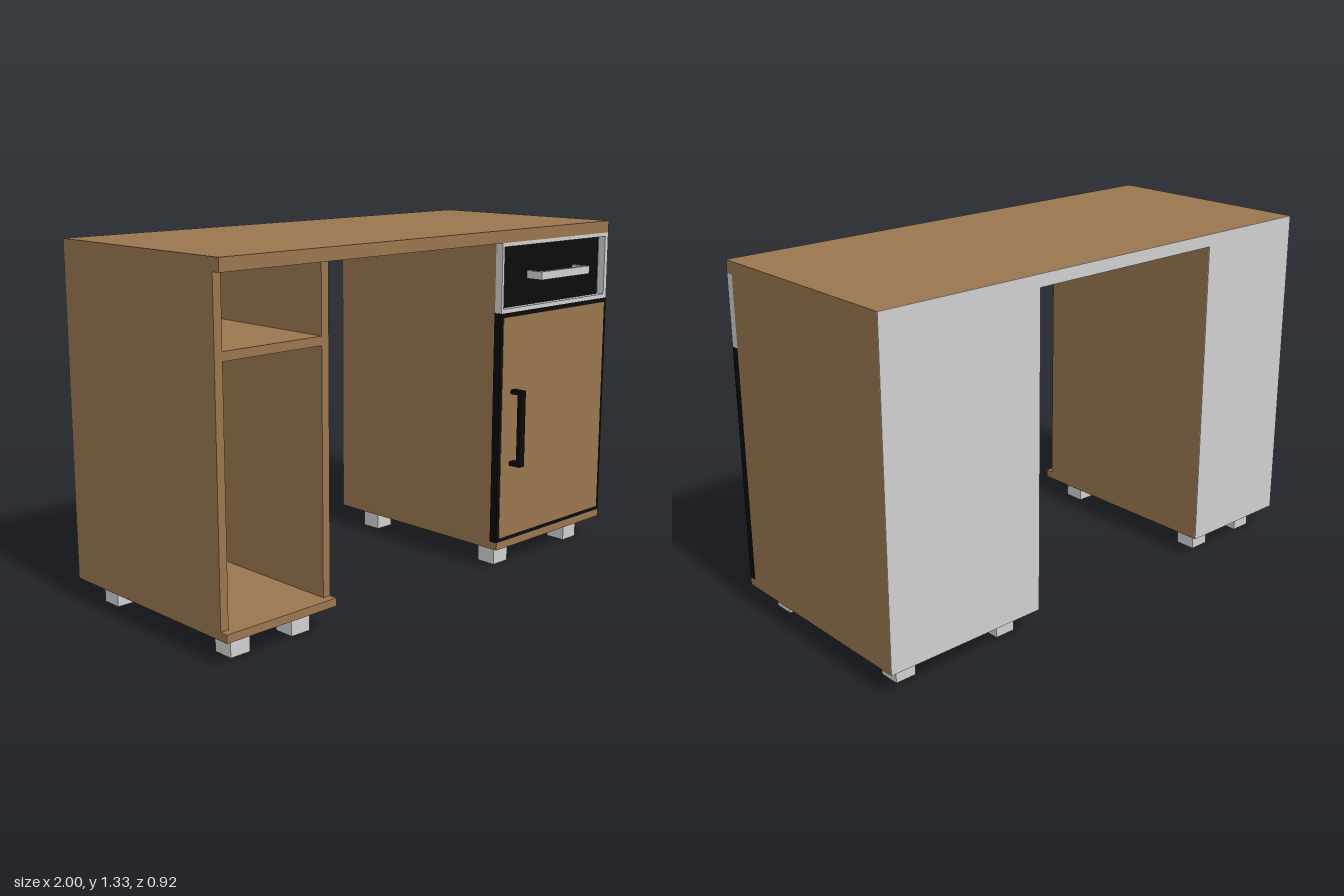
import * as THREE from 'three';

const mat = (name, color) => {
  const m = new THREE.MeshStandardMaterial({ color });
  m.name = name;
  return m;
};

export function createModel() {
  const wood = mat('wood brown', 0x9a7650);
  const grey = mat('light grey', 0xd0d0d0);
  const black = mat('black', 0x0b0b0b);

  const desk = new THREE.Group();
  desk.name = 'desk';

  // Box given by its lower and upper limits on each axis
  const slab = (name, material, [x0, x1], [y0, y1], [z0, z1], parent = desk) => {
    const mesh = new THREE.Mesh(new THREE.BoxGeometry(x1 - x0, y1 - y0, z1 - z0), material);
    mesh.position.set((x0 + x1) / 2, (y0 + y1) / 2, (z0 + z1) / 2);
    mesh.name = name;
    parent.add(mesh);
    return mesh;
  };
  const group = (name) => {
    const g = new THREE.Group();
    g.name = name;
    desk.add(g);
    return g;
  };

  const back = -0.457, body = 0.375, front = 0.407;
  const floor = 0.088, base = 0.118, under = 1.285, top = 1.332;

  // Worktop
  slab('worktop', wood, [-1, 1], [under, top], [back, front]);

  // Open shelf pedestal: sides set back from the worktop and base edges
  const shelves = group('shelfPedestal');
  slab('base', wood, [-1, -0.518], [floor, base], [back, front], shelves);
  for (const x of [-1, -0.55]) {
    slab('sidePanel', wood, [x, x + 0.032], [base, under], [back, body], shelves);
  }
  slab('innerBack', wood, [-0.968, -0.55], [base, under], [back, back + 0.02], shelves);
  slab('shelf', wood, [-0.968, -0.55], [1.003, 1.035], [back + 0.02, body], shelves);

  // Closed pedestal
  const cabinet = group('cabinetPedestal');
  slab('base', wood, [0.337, 1], [floor, base], [back, front], cabinet);
  slab('carcass', wood, [0.337, 1], [base, under], [back, body], cabinet);

  // Grey facing across the whole back
  const facing = group('backFacing');
  const skin = [back - 0.003, back];
  slab('worktopBack', grey, [-1, 1], [under, top], skin, facing);
  slab('shelfBack', grey, [-1, -0.518], [floor, under], skin, facing);
  slab('cabinetBack', grey, [0.337, 1], [floor, under], skin, facing);

  // Drawer: grey surround with a recessed black front
  const drawer = group('drawer');
  const rim = [body, front];
  slab('surroundSide', grey, [0.337, 0.349], [1.02, under], rim, drawer);
  slab('surroundSide', grey, [0.98, 1], [1.02, under], rim, drawer);
  slab('surroundTop', grey, [0.349, 0.98], [1.27, under], rim, drawer);
  slab('surroundBottom', grey, [0.349, 0.98], [1.02, 1.036], rim, drawer);
  slab('drawerFront', black, [0.366, 0.966], [1.036, 1.27], [body, body + 0.008], drawer);

  // Door: black edging with a thin wooden face
  const door = group('door');
  slab('doorEdging', black, [0.334, 1], [base, 1.02], rim, door);
  slab('doorFace', wood, [0.349, 0.985], [0.134, 1.003], [front, front + 0.002], door);

  // Bow handles
  const dh = group('drawerHandle');
  slab('grip', grey, [0.512, 0.812], [1.137, 1.168], [0.44, 0.456], dh);
  for (const x of [0.512, 0.796]) {
    slab('post', grey, [x, x + 0.016], [1.137, 1.168], [body + 0.008, 0.44], dh);
  }
  const oh = group('doorHandle');
  slab('grip', black, [0.4, 0.43], [0.42, 0.72], [0.443, 0.459], oh);
  for (const y of [0.42, 0.704]) {
    slab('post', black, [0.4, 0.43], [y, y + 0.016], [front, 0.443], oh);
  }

  // Square feet, four under each pedestal
  const feet = group('feet');
  for (const x of [-0.895, -0.628, 0.44, 0.89]) {
    for (const z of [0.302, -0.35]) {
      slab('foot', grey, [x - 0.041, x + 0.041], [0, floor], [z - 0.041, z + 0.041], feet);
    }
  }
  return desk;
}
